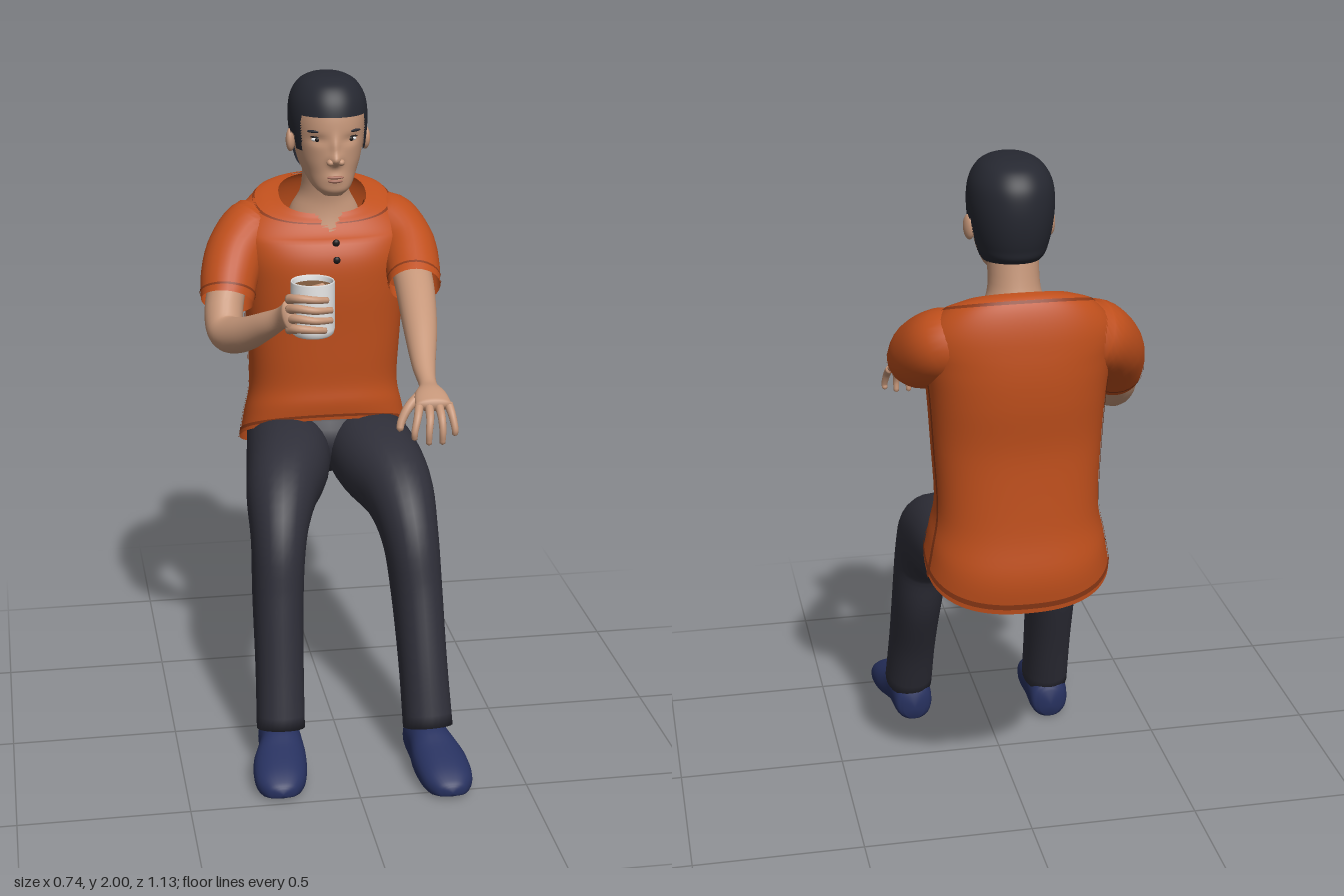
import * as THREE from 'three';

const V = (x, y, z) => new THREE.Vector3(x, y, z);
const mat = (name, color, both) => {
  const m = new THREE.MeshStandardMaterial({ color });
  m.name = name;
  if (both) m.side = THREE.DoubleSide;
  return m;
};

// Smooth body through sections [x, y, z, halfWidth, halfDepth].
// ref: width direction; axis: fixed section normal; keep: face filter; warp: vertex rule
function loft(rows, o = {}) {
  const { n = 28, sub = 5, ref = V(1, 0, 0), axis, power = 2, grow = 0, warp, keep, open, dome = 0.4 } = o;
  const path = new THREE.CatmullRomCurve3(rows.map(r => V(r[0], r[1], r[2])), false, 'catmullrom');
  const size = new THREE.CatmullRomCurve3(rows.map(r => V(r[3], r[4], 0)), false, 'catmullrom');
  const m = (rows.length - 1) * sub, pts = [], idx = [];
  const se = c => Math.sign(c) * Math.pow(Math.abs(c), 2 / power);
  const ends = [];
  for (let i = 0; i <= m; i++) {
    const c = path.getPoint(i / m), s = size.getPoint(i / m);
    const t = axis ? axis.clone() : path.getTangent(i / m);
    const u = ref.clone().addScaledVector(t, -ref.dot(t)).normalize();
    const v = t.clone().cross(u);
    for (let j = 0; j < n; j++) {
      const a = j / n * Math.PI * 2;
      const p = c.clone().addScaledVector(u, (s.x + grow) * se(Math.cos(a))).addScaledVector(v, (s.y + grow) * se(Math.sin(a)));
      if (warp) warp(p);
      pts.push(p);
    }
    if (i === 0 || i === m) ends.push(c.clone().addScaledVector(t, (i ? 1 : -1) * dome * Math.min(s.x, s.y)));
  }
  const face = (a, b, c, i, j) => {
    const mid = pts[a].clone().add(pts[b]).add(pts[c]).divideScalar(3);
    if (!keep || keep(mid, i, j)) idx.push(a, b, c);
  };
  for (let i = 0; i < m; i++) for (let j = 0; j < n; j++) {
    const k = (j + 1) % n, a = i * n + j, b = i * n + k;
    face(a, b, b + n, i, j);
    face(a, b + n, a + n, i, j);
  }
  if (!open) {
    if (warp) ends.forEach(warp);
    pts.push(...ends);
    const e = pts.length - 2;
    for (let j = 0; j < n; j++) {
      const k = (j + 1) % n;
      face(e, k, j, 0, j);
      face(e + 1, m * n + j, m * n + k, m, j);
    }
  }
  const g = new THREE.BufferGeometry().setFromPoints(pts);
  g.setIndex(idx);
  g.computeVertexNormals();
  return g;
}

export function createModel() {
  const model = new THREE.Group();
  const skin = mat('skin', 0xc6977a), hair = mat('hair', 0x262831, true), shirt = mat('shirt', 0xbf4f1c, true);
  const seam = mat('shirt seam', 0x8a3816, true), cloth = mat('trousers', 0x2f2f39), shoe = mat('shoes', 0x27315f);
  const white = mat('mug white', 0xececec, true), coffee = mat('coffee', 0x7d5a3e), lip = mat('lips', 0xa8705f), dark = mat('dark detail', 0x1b1718);
  const add = (name, geo, m, parent = model) => {
    const mesh = new THREE.Mesh(geo, m);
    mesh.name = name;
    parent.add(mesh);
    return mesh;
  };
  const blob = (name, m, c, r) => {
    const b = add(name, new THREE.SphereGeometry(1, 24, 16), m);
    b.position.set(...c);
    b.scale.set(...r);
    return b;
  };
  const UP = V(0, 1, 0), CX = 0.03;

  // Trousers
  blob('trouserSeat', cloth, [0.025, 0.85, -0.36], [0.235, 0.13, 0.165]);
  add('leftLeg', loft([[0.14, 0.83, -0.44, 0.12, 0.105], [0.16, 0.812, -0.2, 0.135, 0.13], [0.2, 0.765, -0.02, 0.108, 0.125],
    [0.218, 0.66, 0.095, 0.085, 0.115], [0.23, 0.5, 0.15, 0.076, 0.112], [0.235, 0.3, 0.235, 0.072, 0.095], [0.24, 0.12, 0.3, 0.074, 0.085]], { power: 2.2, dome: 0.1 }), cloth);
  add('rightLeg', loft([[-0.09, 0.83, -0.44, 0.12, 0.105], [-0.11, 0.812, -0.2, 0.13, 0.13], [-0.155, 0.765, -0.03, 0.108, 0.125],
    [-0.18, 0.66, 0.08, 0.083, 0.115], [-0.19, 0.5, 0.125, 0.076, 0.11], [-0.195, 0.3, 0.185, 0.072, 0.095], [-0.2, 0.12, 0.24, 0.072, 0.085]], { power: 2.2, dome: 0.1 }), cloth);

  // Shoes, flattened underneath
  const flat = p => { p.y = Math.max(p.y, 0.004 + 0.25 * Math.max(0, p.z - 0.5)); };
  for (const [name, s, x, z] of [['leftShoe', 1, 0.235, 0], ['rightShoe', -1, -0.2, -0.067]]) {
    const rows = [[0, 0.055, 0.215, 0.035, 0.045], [0, 0.065, 0.24, 0.06, 0.065], [0.005, 0.07, 0.34, 0.066, 0.075],
      [0.018, 0.055, 0.42, 0.08, 0.062], [0.026, 0.04, 0.5, 0.074, 0.047], [0.028, 0.032, 0.545, 0.048, 0.03], [0.028, 0.032, 0.56, 0.02, 0.014]];
    add(name, loft(rows.map(r => [x + s * r[0], r[1], r[2], r[3], r[4]]), { axis: V(0, 0, 1), power: 2.3, warp: flat }), shoe).position.z = z;
  }

  // Shirt body: the hem rises to the front, the neckline drops to the front
  const torso = [[0.84, -0.375, 0.265, 0.178], [0.92, -0.377, 0.25, 0.185], [1.02, -0.37, 0.232, 0.173], [1.2, -0.362, 0.24, 0.172],
    [1.35, -0.365, 0.25, 0.183], [1.45, -0.37, 0.262, 0.18], [1.53, -0.385, 0.265, 0.155], [1.59, -0.385, 0.21, 0.125], [1.615, -0.375, 0.135, 0.095]]
    .map(([y, z, a, b]) => [0.025, y, z, a, b]);
  const drape = p => {
    const low = THREE.MathUtils.clamp((1.12 - p.y) / 0.28, 0, 1), high = THREE.MathUtils.clamp((p.y - 1.5) / 0.11, 0, 1);
    p.y += (p.z + 0.375) * (0.55 * low - 0.45 * high);
  };
  const slit = p => p.z > -0.33 && Math.abs(p.x - CX) < (p.y - 1.52) * 0.8;
  const body = { n: 96, sub: 6, axis: UP, power: 2.4, warp: drape, open: true };
  add('shirtBody', loft(torso, { ...body, keep: p => !slit(p) }), shirt);
  add('collar', loft(torso, { ...body, grow: 0.008, keep: (p, i) => i >= 43 && !slit(p) }), shirt);
  add('collarSeam', loft(torso, { ...body, grow: 0.005, keep: (p, i) => i === 42 && !slit(p) }), seam);
  add('sideSeams', loft(torso, { ...body, grow: 0.003, keep: (p, i, j) => i < 32 && (j === 2 || j === 45) }), seam);
  add('hemSeam', loft(torso, { ...body, grow: 0.003, keep: (p, i) => i === 1 }), seam);
  [[1.5, -0.2], [1.45, -0.186]].forEach(([y, z]) => blob('button', dark, [0.04, y, z], [0.011, 0.011, 0.007]));

  // Sleeves with stitched cuffs
  const sleeve = (side, rows, ref) => {
    add(side + 'Sleeve', loft(rows, { ref, open: true }), shirt);
    add(side + 'SleeveStitch', loft(rows, { ref, open: true, sub: 12, grow: 0.003, keep: (p, i) => i === (rows.length - 1) * 12 - 4 }), seam);
  };
  sleeve('left', [[0.15, 1.52, -0.41, 0.06, 0.07], [0.225, 1.505, -0.4, 0.1, 0.1], [0.275, 1.455, -0.32, 0.09, 0.1], [0.28, 1.41, -0.23, 0.084, 0.085], [0.272, 1.372, -0.145, 0.078, 0.066]]);
  const armRef = V(1, 0, -0.5).normalize();
  sleeve('right', [[-0.1, 1.52, -0.41, 0.06, 0.07], [-0.175, 1.505, -0.4, 0.1, 0.1], [-0.24, 1.455, -0.345, 0.095, 0.1], [-0.275, 1.39, -0.28, 0.088, 0.09], [-0.29, 1.325, -0.225, 0.08, 0.078]], armRef);

  // Arms
  add('leftArm', loft([[0.275, 1.41, -0.23, 0.06, 0.055], [0.268, 1.36, -0.11, 0.058, 0.055], [0.255, 1.29, 0.03, 0.05, 0.048],
    [0.24, 1.22, 0.16, 0.035, 0.033], [0.236, 1.185, 0.245, 0.026, 0.023], [0.23, 1.18, 0.31, 0.045, 0.021], [0.228, 1.165, 0.37, 0.053, 0.018]]), skin);
  add('rightArm', loft([[-0.275, 1.4, -0.29, 0.058, 0.058], [-0.302, 1.3, -0.215, 0.058, 0.06], [-0.3, 1.25, -0.15, 0.055, 0.056],
    [-0.26, 1.27, -0.06, 0.05, 0.052], [-0.205, 1.325, 0.04, 0.038, 0.04], [-0.168, 1.365, 0.105, 0.026, 0.032], [-0.153, 1.39, 0.165, 0.02, 0.045]], { ref: armRef }), skin);

  // Fingers
  const finger = (name, pts, r, ref) => add(name, loft(pts.map((p, i) => [...p, r * (1 - 0.12 * i), r * (1 - 0.12 * i)]), { n: 12, ref, dome: 0.7 }), skin);
  for (let i = 0; i < 4; i++) {
    const k = 0.188 + i * 0.028, f = 0.166 + i * 0.039, short = [0.012, 0, 0, 0.018][i];
    finger('leftFinger', [[k, 1.165, 0.36], [(k + f) / 2, 1.14, 0.405 - short], [f, 1.105, 0.422 - short], [f, 1.07 + short, 0.42 - short]], 0.013);
    const y = 1.445 - i * 0.03;
    finger('rightFinger', [[-0.155, y - 0.01, 0.155], [-0.132, y, 0.192], [-0.085, y - 0.004, 0.206 - short * 0.5], [-0.035 - short, y - 0.01, 0.184]], 0.0145, UP);
  }
  finger('leftThumb', [[0.212, 1.175, 0.28], [0.17, 1.145, 0.305], [0.146, 1.11, 0.32], [0.138, 1.085, 0.33]], 0.016);
  finger('rightThumb', [[-0.158, 1.38, 0.12], [-0.135, 1.42, 0.115], [-0.09, 1.445, 0.117], [-0.048, 1.46, 0.123]], 0.016, UP);

  // Mug of coffee
  const mug = new THREE.Group();
  mug.name = 'mug';
  mug.position.set(-0.078, 1.312, 0.106);
  model.add(mug);
  const wall = [[0, 0], [0.054, 0], [0.061, 0.006], [0.064, 0.02], [0.064, 0.158], [0.062, 0.162], [0.058, 0.158], [0.057, 0.13]];
  add('mugWall', new THREE.LatheGeometry(wall.map(p => new THREE.Vector2(...p)), 40), white, mug);
  add('coffeeSurface', new THREE.CylinderGeometry(0.058, 0.058, 0.004, 40), coffee, mug).position.y = 0.143;

  // Neck and head, with brow sockets, nose and lips pushed out of the face
  add('neck', loft([[CX, 1.48, -0.375, 0.13, 0.11], [CX, 1.57, -0.38, 0.105, 0.095], [CX, 1.64, -0.36, 0.073, 0.08], [CX, 1.76, -0.33, 0.072, 0.085]], { axis: UP }), skin);
  const head = [[1.652, -0.205, 0.03, 0.035], [1.675, -0.232, 0.058, 0.078], [1.72, -0.285, 0.083, 0.13], [1.76, -0.296, 0.096, 0.142], [1.82, -0.303, 0.106, 0.15],
    [1.88, -0.306, 0.109, 0.15], [1.93, -0.308, 0.101, 0.138], [1.968, -0.308, 0.078, 0.108], [1.988, -0.308, 0.045, 0.064], [1.994, -0.308, 0.014, 0.02]]
    .map(([y, z, a, b]) => [CX, y, z, a, b]);
  const bump = (p, x, y, w, h) => Math.exp(-(((p.x - x) / w) ** 2) - ((p.y - y) / h) ** 2);
  const sculpt = p => {
    if (p.z < -0.22) return;
    p.z += 0.024 * bump(p, CX, 1.765, 0.018, 0.018) + 0.012 * bump(p, CX, 1.8, 0.012, 0.03) + 0.006 * bump(p, CX, 1.707, 0.03, 0.016);
    for (const s of [-1, 1]) p.z -= 0.008 * bump(p, CX + s * 0.05, 1.822, 0.026, 0.014);
  };
  const skull = { n: 112, sub: 8, axis: UP, power: 2.15, warp: sculpt, dome: 0.1 };
  add('head', loft(head, skull), skin);
  const hairline = z => z > -0.205 ? 1.885 : z > -0.245 ? 1.78 : z > -0.335 ? 1.825 : 1.712;
  add('hair', loft(head, { ...skull, grow: 0.009, keep: p => p.y > hairline(p.z) }), hair).position.y = 0.004;

  // Facial details
  for (const s of [-1, 1]) {
    blob('ear', skin, [CX + s * 0.113, 1.8, -0.3], [0.014, 0.036, 0.024]).rotation.y = s * 0.3;
    blob('eye', white, [CX + s * 0.05, 1.822, -0.184], [0.018, 0.007, 0.011]);
    blob('iris', dark, [CX + s * 0.05, 1.822, -0.177], [0.008, 0.007, 0.006]);
    blob('upperLid', dark, [CX + s * 0.05, 1.83, -0.182], [0.021, 0.003, 0.011]);
    const brow = blob('eyebrow', hair, [CX + s * 0.054, 1.847, -0.177], [0.028, 0.005, 0.008]);
    brow.rotation.y = s * 0.35;
    blob('nostrilWing', skin, [CX + s * 0.016, 1.758, -0.148], [0.011, 0.01, 0.013]);
  }
  blob('upperLip', lip, [CX, 1.712, -0.153], [0.026, 0.005, 0.009]);
  blob('lowerLip', lip, [CX, 1.701, -0.153], [0.022, 0.006, 0.009]);
  return model;
}
